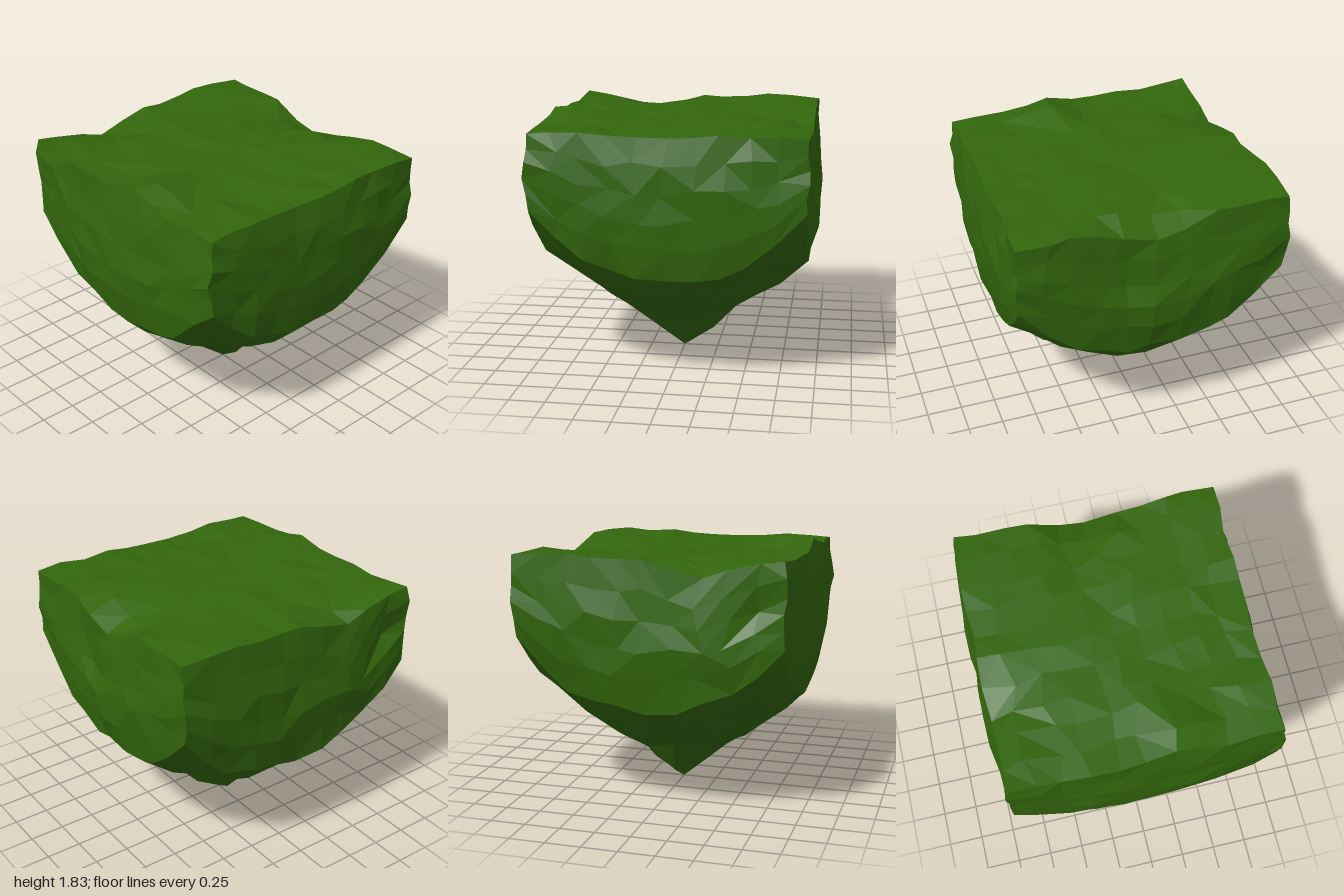
import * as THREE from 'three';

// Repeatable jitter in [-1, 1] for a grid point, so shared corners stay together
function jitter(x, y, z, k) {
  const s = Math.sin(Math.round(x * 40) * 12.99 + Math.round(y * 40) * 78.23 + Math.round(z * 40) * 37.72 + k * 19.19) * 437.585;
  return (s - Math.floor(s)) * 2 - 1;
}

// Height of the tapering underside at a distance from the axis
const UNDER = [[0, 0], [0.17, 0.11], [0.36, 0.33], [0.49, 0.4], [0.66, 0.52], [0.8, 0.63],
  [0.93, 0.76], [1.06, 0.86], [1.14, 0.97], [1.33, 1.25], [2, 1.4]];
function underside(r) {
  const i = UNDER.findIndex(([radius]) => r < radius);
  const [r0, y0] = UNDER[i - 1], [r1, y1] = UNDER[i];
  return y0 + (y1 - y0) * (r - r0) / (r1 - r0);
}

const bell = (a, b, radius) => Math.exp(-(a * a + b * b) / (radius * radius));

// Height of the top: nearly flat, with gentle bumps and small pits [x, z, height, radius]
const BUMPS = [
  [-0.78, 0.18, 0.09, 0.22], [-0.8, -0.1, -0.05, 0.14], [-0.93, -0.93, 0.03, 0.25],
  [0.93, -0.06, -0.16, 0.16], [0.93, 0.28, -0.08, 0.14], [0.7, -0.2, -0.04, 0.25],
  [-0.25, 0.76, -0.05, 0.14], [0.1, 0.76, -0.05, 0.14], [0.5, -0.85, 0.03, 0.25], [-0.37, -0.92, -0.11, 0.18],
];
function topside(x, z) {
  return BUMPS.reduce((y, [bx, bz, h, r]) => y + h * bell(x - bx, z - bz, r), 1.755 - 0.015 * z);
}

// Half width of a wall: swells at mid height and along its middle
function wall(t, along) {
  return 0.925 + 0.06 * Math.sin(Math.PI * t ** 0.8) * (1 - 0.75 * along * along);
}

export function createModel() {
  const group = new THREE.Group();
  group.name = 'floatingIsland';

  // Box grid bent between the top and underside surfaces
  const geo = new THREE.BoxGeometry(2, 2, 2, 10, 5, 10);
  const p = geo.attributes.position;
  for (let i = 0; i < p.count; i++) {
    const u = p.getX(i), v = p.getY(i), w = p.getZ(i);
    const t = (v + 1) / 2;
    const edgeX = Math.abs(u) > 0.99, edgeZ = Math.abs(w) > 0.99;
    const isTop = v > 0.99, isBottom = v < -0.99;
    const tip = isBottom && Math.abs(u) + Math.abs(w) < 0.01;

    const slide = tip ? 0 : edgeX && edgeZ ? 0.012 : 0.04;
    let x = u * wall(t, w) + jitter(u, v, w, 1) * (edgeX ? 0.016 : slide);
    let z = w * wall(t, u) + jitter(u, v, w, 2) * (edgeZ ? 0.016 : slide);
    // Gully in the left wall and hollows near the two back corners
    if (u > 0.99) x -= 0.08 * bell(t - 0.7, w - 0.3, 0.2);
    if (w < -0.99) z += 0.07 * bell(t - 0.6, u + 0.8, 0.17) + 0.06 * bell(t, u - 0.7, 0.17);

    const low = underside(Math.hypot(x, z)), high = topside(x, z);
    const rough = tip ? 0 : isTop ? 0.012 : edgeX && edgeZ ? 0.015 : 0.027;
    p.setXYZ(i, x, Math.max(0, low + (high - low) * t + jitter(u, v, w, 3) * rough), z);
  }

  // Turn the diagonal of some facets for an irregular look
  const index = geo.index;
  for (let i = 0; i < index.count; i += 6) {
    const a = index.getX(i), b = index.getX(i + 1), d = index.getX(i + 2), c = index.getX(i + 4);
    if (jitter(i, 0, 0, 4) > 0) [a, b, c, a, c, d].forEach((n, k) => index.setX(i + k, n));
  }
  const faceted = geo.toNonIndexed();
  faceted.computeVertexNormals();

  const rock = new THREE.Mesh(faceted, new THREE.MeshStandardMaterial({ color: 0x32660c, flatShading: true }));
  rock.name = 'islandRock';
  group.add(rock);
  return group;
}
